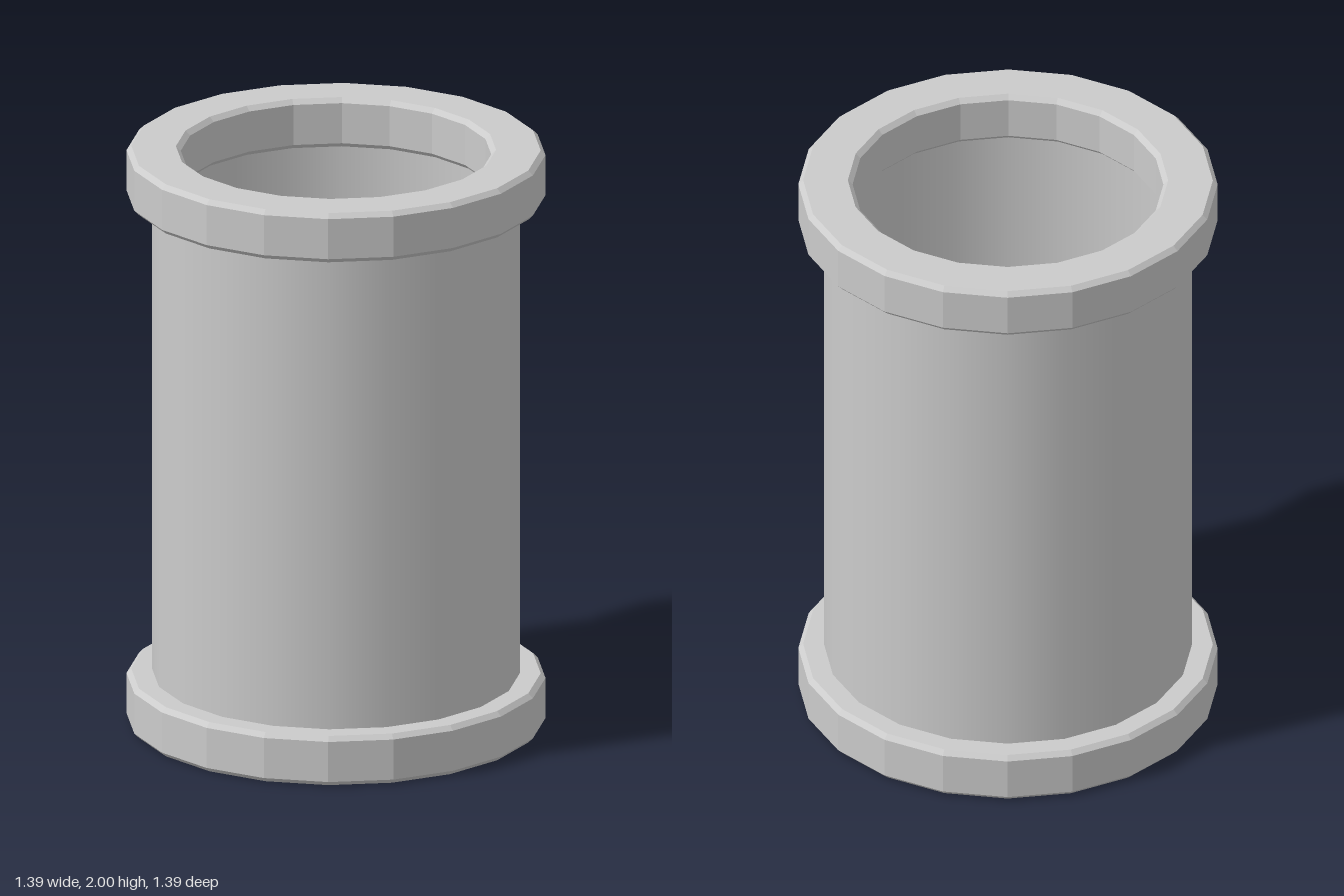
import * as THREE from 'three';

const SIDES = 20;

// Closed chamfered rectangle, listed so the lathe faces outward
function collarProfile(inner, outer, height, bevel) {
  return [
    [inner + bevel, 0], [outer - bevel, 0],
    [outer, bevel], [outer, height - bevel],
    [outer - bevel, height], [inner + bevel, height],
    [inner, height - bevel], [inner, bevel],
    [inner + bevel, 0],
  ].map(([r, y]) => new THREE.Vector2(r, y));
}

export function createModel() {
  const group = new THREE.Group();
  group.name = 'flangedPipe';

  // Thin smooth wall, ends tucked inside the collars
  const wall = new THREE.Mesh(
    new THREE.CylinderGeometry(0.61, 0.61, 1.8, SIDES, 1, true),
    new THREE.MeshStandardMaterial({ color: 0xcccccc, side: THREE.DoubleSide })
  );
  wall.name = 'pipeWall';
  wall.position.y = 1;
  group.add(wall);

  // Faceted collars at both ends
  const collarGeometry = new THREE.LatheGeometry(collarProfile(0.515, 0.695, 0.172, 0.016), SIDES);
  const collarMaterial = new THREE.MeshStandardMaterial({ color: 0xcccccc, flatShading: true });
  for (const [name, y] of [['bottomCollar', 0], ['topCollar', 2 - 0.172]]) {
    const collar = new THREE.Mesh(collarGeometry, collarMaterial);
    collar.name = name;
    collar.position.y = y;
    group.add(collar);
  }

  return group;
}
